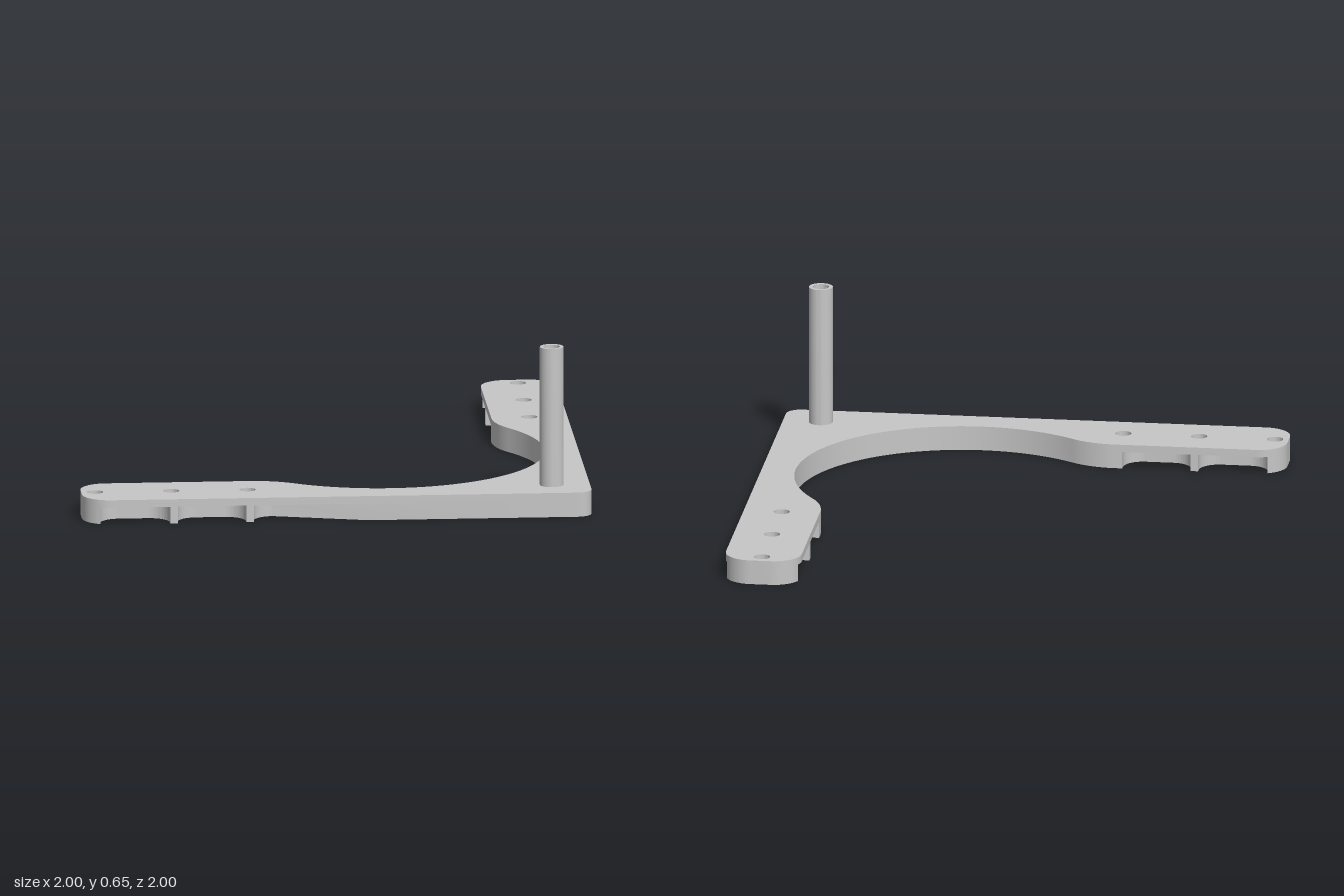
import * as THREE from 'three';
import { toCreasedNormals } from 'three/addons/utils/BufferGeometryUtils.js';

const PI = Math.PI;
const MID = 0.85;       // centre line of each arm
const BORE = 0.032;     // hole radius in the plate and post
const SOCKET = 0.045;   // wider hole radius on the underside
const PLATE_Y = 0.067;  // underside of the top plate
const TOP_Y = 0.097;
const FILLET = 0.08;    // pocket corner radius
const SPINE_Z = 0.9;    // outer face of the spine

// Points of a plan path (x, z) recorded by a drawing callback.
function trace(draw) {
  const path = new THREE.Path();
  draw(path);
  return path.getPoints(16);
}

// Closed symmetric outline: one half, plus the same half swapped over x = z.
function mirrorHalf(half) {
  const other = half.map(p => new THREE.Vector2(p.y, p.x)).reverse();
  return half.concat(other.slice(1, -1));
}

// Extrudes a plan outline with round holes between two heights.
function slab(points, holes, radius, y0, y1) {
  const shape = new THREE.Shape(points);
  for (const [x, z] of holes) {
    const ring = new THREE.Path();
    ring.absarc(x, z, radius, 0, 2 * PI, true);
    shape.holes.push(ring);
  }
  const g = new THREE.ExtrudeGeometry(shape, { depth: y1 - y0, bevelEnabled: false, curveSegments: 16 });
  g.rotateX(PI / 2);
  g.translate(0, y1, 0);
  return toCreasedNormals(g, 0.5);
}

// Outer corner, from the diagonal to the front edge.
const corner = p => p.absarc(0.94, 0.94, 0.06, PI / 4, PI / 2, false);

// Rounded arm tip; cut trims the arcs where the pockets meet it.
function tip(p, cut) {
  p.absarc(-0.89, 0.89, 0.11, PI / 2 + cut, PI, false);
  p.absarc(-0.89, 0.81, 0.11, PI, 1.5 * PI - cut, false);
}

// Inner edge: arm side, blend, then the large round cutout to the diagonal.
function innerEdge(p) {
  const a = Math.atan2(-0.797, 0.543);
  p.lineTo(-0.33, 0.7);
  p.absarc(-0.33, 1.01, 0.31, -PI / 2, a, false);
  p.absarc(0.213, 0.213, Math.hypot(0.543, 0.797) - 0.31, a + PI, PI / 4, true);
}

// Round-cornered pocket on the outer side, running from xa towards the tip at xb.
function pocket(xa, xb, zb) {
  const z = SPINE_Z + FILLET;
  return trace(p => {
    p.moveTo(xa, 1);
    p.lineTo(xa, z);
    p.absarc(xa - FILLET, z, FILLET, 0, -PI / 2, true);
    p.absarc(xb + FILLET, z, FILLET, -PI / 2, -PI, true);
    p.lineTo(xb, zb);
  });
}

export function createModel() {
  const model = new THREE.Group();
  model.name = 'cornerBracket';
  const grey = new THREE.MeshStandardMaterial({ color: 0xc7c7c7 });
  grey.name = 'lightGrey';
  const add = (name, geometry) => {
    const mesh = new THREE.Mesh(geometry, grey);
    mesh.name = name;
    model.add(mesh);
  };

  const holes = [[MID, MID]];
  for (const t of [-0.946, -0.646, -0.346]) holes.push([t, MID], [MID, t]);

  // Top plate
  const plateHalf = trace(p => {
    corner(p);
    tip(p, 0);
    innerEdge(p);
  });
  add('topPlate', slab(mirrorHalf(plateHalf), holes, BORE, PLATE_Y, TOP_Y));

  // Ribbed underside: spine and webs left between pockets on both sides of the arm
  const cut = Math.asin(0.045 / 0.11);
  const zEnd = 0.89 + 0.11 * Math.cos(cut);
  const outerPockets = [...pocket(-0.361, -0.631, 1), ...pocket(-0.661, -0.935, zEnd)];
  const innerPockets = outerPockets.map(p => new THREE.Vector2(p.x, 2 * MID - p.y)).reverse();
  const start = trace(p => {
    corner(p);
    p.lineTo(0.12, 1);
    p.lineTo(-0.331 + FILLET, SPINE_Z);
    p.absarc(-0.331 + FILLET, SPINE_Z + FILLET, FILLET, -PI / 2, -PI, true);
    p.lineTo(-0.331, 1);
  });
  const end = trace(p => tip(p, cut));
  const inner = trace(p => {
    p.moveTo(-0.361, 0.7);
    innerEdge(p);
  });
  const ribHalf = [...start, ...outerPockets, ...end.slice(1, -1), ...innerPockets, ...inner.slice(1)];
  add('undersideRibs', slab(mirrorHalf(ribHalf), holes, SOCKET, 0, PLATE_Y));

  // Hollow corner post
  const ring = trace(p => p.absarc(MID, MID, 0.047, 0, 2 * PI, false));
  add('cornerPost', slab(ring.slice(0, -1), [[MID, MID]], BORE, TOP_Y, 0.652));

  return model;
}
